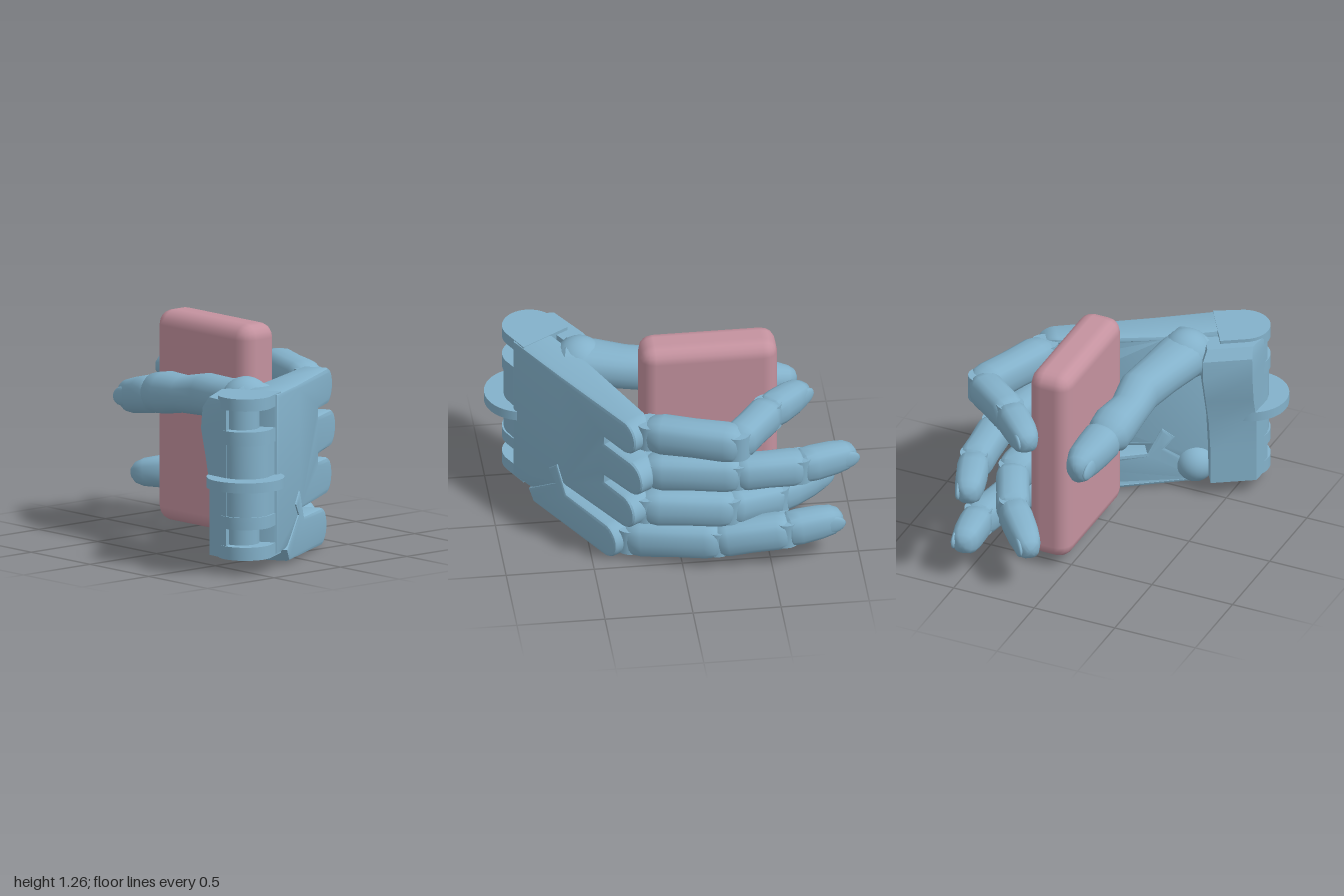
import * as THREE from 'three';
import { toCreasedNormals } from 'three/addons/utils/BufferGeometryUtils.js';
import { RoundedBoxGeometry } from 'three/addons/geometries/RoundedBoxGeometry.js';

const V = (x, y, z) => new THREE.Vector3(x, y, z);
const UP = V(0, 1, 0);

// Sweep a rounded-square section through stations {p, a: half height, b: half width}
function loft(stations, sides, power) {
  const pos = [], idx = [], n = stations.length;
  const bend = (t) => Math.sign(t) * Math.abs(t) ** power;
  stations.forEach(({ p, a, b }, i) => {
    const t = stations[Math.min(i + 1, n - 1)].p.clone().sub(stations[Math.max(i - 1, 0)].p).normalize();
    const side = UP.clone().cross(t).normalize(), up = t.clone().cross(side);
    for (let j = 0; j < sides; j++) {
      const th = (j / sides) * Math.PI * 2;
      const q = p.clone().addScaledVector(side, b * bend(Math.cos(th))).addScaledVector(up, a * bend(Math.sin(th)));
      pos.push(q.x, q.y, q.z);
    }
  });
  pos.push(...stations[0].p.toArray(), ...stations[n - 1].p.toArray());
  for (let j = 0; j < sides; j++) {
    const k = (j + 1) % sides;
    for (let i = 0; i < n - 1; i++) {
      const r = i * sides, s = r + sides;
      idx.push(r + j, r + k, s + k, r + j, s + k, s + j);
    }
    const last = (n - 1) * sides;
    idx.push(n * sides, k, j, n * sides + 1, last + j, last + k);
  }
  const g = new THREE.BufferGeometry();
  g.setAttribute('position', new THREE.Float32BufferAttribute(pos, 3));
  g.setIndex(idx);
  return toCreasedNormals(g, 0.7);
}

export function createModel() {
  const root = new THREE.Group();
  const blue = new THREE.MeshStandardMaterial({ color: 0x83b1ca });
  const pink = new THREE.MeshStandardMaterial({ color: 0xc4929f });
  const add = (parent, name, geo, mat = blue) => {
    const m = new THREE.Mesh(geo, mat);
    m.name = name;
    parent.add(m);
    return m;
  };

  // Held block
  add(root, 'heldBlock', new RoundedBoxGeometry(0.78, 1.21, 0.25, 2, 0.085), pink).position.set(-0.19, 0.665, -0.115);

  // Palm frame: local z runs to the wrist, local x points out of the back of the hand
  const palm = new THREE.Group();
  palm.name = 'palm';
  palm.position.x = 0.645;
  palm.rotation.y = 0.56;
  root.add(palm);
  const K = 0.848;

  // Plate drawn in (z, y), thickened inwards and thinned towards the knuckles
  const plate = (shape, depth, bevel, thin) => {
    const g = new THREE.ExtrudeGeometry(shape, {
      depth: depth - 2 * bevel, bevelThickness: bevel, bevelSize: bevel, bevelOffset: -bevel, bevelSegments: 2, curveSegments: 10,
    });
    g.translate(0, 0, bevel);
    g.rotateY(-Math.PI / 2);
    const p = g.attributes.position;
    for (let i = 0; i < p.count; i++) {
      const f = THREE.MathUtils.clamp((p.getZ(i) + 0.76) / 0.34, 0, 1);
      p.setX(i, p.getX(i) * (thin + (1 - thin) * f));
    }
    return toCreasedNormals(g, 0.6);
  };

  // Back of hand with three knuckle tabs
  const s = new THREE.Shape();
  s.moveTo(0.35 / K, 0.1);
  s.lineTo(0.35 / K, 1.02);
  s.lineTo(0, 1.005);
  for (const [z, y, gap] of [[-0.49, 0.89, 0.77], [-0.54, 0.64, 0.51], [-0.48, 0.38, 0.27]]) {
    s.lineTo(z / K, y + 0.105);
    s.absarc(z / K, y, 0.105, Math.PI / 2, Math.PI * 1.5, false);
    if (gap > 0.3) {
      s.lineTo(-0.35 / K, gap + 0.018);
      s.lineTo(-0.35 / K, gap - 0.018);
    }
  }
  s.lineTo(-0.05 / K, 0.275);
  s.lineTo(0.18 / K, 0.1);
  add(palm, 'palmPlate', plate(s, 0.22, 0.025, 0.4));

  // Little-finger side of the palm, with its hooked upper corner
  const h = new THREE.Shape();
  [[0.18, 0.03], [0.22, 0.1], [0.02, 0.26], [0.07, 0.33], [0, 0.4], [-0.07, 0.235]].forEach(([z, y], i) =>
    i ? h.lineTo(z / K, y) : h.moveTo(z / K, y));
  h.lineTo(-0.36 / K, 0.22);
  h.absarc(-0.36 / K, 0.113, 0.107, Math.PI / 2, Math.PI * 1.5, false);
  add(palm, 'lowerPalm', plate(h, 0.24, 0.02, 0.5)).position.x = 0.012;

  // Slab with a round wrist end, drawn in (x, z) and raised in y
  const slab = (name, y0, y1, r) => {
    const q = new THREE.Shape();
    q.moveTo(-0.175 - r, -0.32);
    q.lineTo(-0.175 - r, -0.47);
    q.absarc(-0.175, -0.47, r, Math.PI, Math.PI * 2, false);
    q.lineTo(-0.175 + r, -0.47);
    q.lineTo(-0.01, -0.32);
    const g = new THREE.ExtrudeGeometry(q, { depth: y1 - y0, bevelEnabled: false, curveSegments: 14 });
    g.rotateX(-Math.PI / 2);
    add(palm, name, toCreasedNormals(g, 0.6)).position.y = y0;
  };
  for (const [a, b] of [[0.095, 0.17], [0.27, 0.34], [0.75, 0.83], [0.95, 1.02]]) slab('wristFlange', a, b, 0.155);
  slab('wristCore', 0.34, 0.75, 0.145);
  add(palm, 'wristPin', new THREE.CylinderGeometry(0.1, 0.1, 0.9, 24)).position.set(-0.2, 0.56, 0.46);
  add(root, 'wristDisc', new THREE.CylinderGeometry(0.22, 0.22, 0.058, 40)).position.set(0.78, 0.53, 0.52);

  // Thumb mount: waisted block filling the inner half of the wrist; rows are y, start z, end z, reach
  const mount = [[0.1, 0.26, 0.52, 0.37], [0.3, 0.26, 0.52, 0.37], [0.5, 0.25, 0.52, 0.37], [0.66, 0.23, 0.5, 0.4],
    [0.82, 0.21, 0.49, 0.43], [0.94, 0.21, 0.49, 0.42], [1.0, 0.24, 0.5, 0.38]];
  const mg = new THREE.BoxGeometry(1, 1, 1, 1, mount.length - 1, 1);
  const mp = mg.attributes.position;
  for (let i = 0; i < mp.count; i++) {
    const [y, z0, z1, reach] = mount[Math.round((mp.getY(i) + 0.5) * (mount.length - 1))];
    const inner = mp.getX(i) < 0, wrist = mp.getZ(i) > 0;
    mp.setXYZ(i, inner ? -reach : -0.25, y, wrist ? (inner ? z1 : 0.6) : z0);
  }
  add(palm, 'thumbMount', toCreasedNormals(mg, 0.5));
  const ball = (name, x, y, z, r) => add(root, name, new THREE.SphereGeometry(r, 24, 16)).position.set(x, y, z);
  ball('thumbPivot', 0.49, 0.915, 0.26, 0.145);
  ball('lowerPivot', 0.58, 0.14, 0.27, 0.11);

  // Fingernail lying on one side of a fingertip
  const nail = (parent, from, to, sign, off) => {
    const t = to.clone().sub(from).normalize();
    const side = UP.clone().cross(t).normalize().multiplyScalar(sign), up = t.clone().cross(side);
    const m = add(parent, 'nail', new THREE.SphereGeometry(1, 16, 10));
    m.quaternion.setFromRotationMatrix(new THREE.Matrix4().makeBasis(side, up, t));
    m.position.copy(to).addScaledVector(t, -0.085).addScaledVector(side, off);
    m.scale.set(0.02, 0.055, 0.09);
  };

  // Fingers: three tapered segments with pinned joints
  const body = [[-0.06, 0.6], [0.03, 0.9], [0.15, 1], [0.5, 0.97], [0.88, 1], [1, 0.92], [1.08, 0.62]];
  const tip = [[0, 0.75], [0.07, 0.96], [0.25, 1], [0.6, 0.94], [0.82, 0.82], [0.94, 0.6], [1, 0.25]];
  const fingers = {
    indexFinger: [[0.18, 0.9, -0.48], [-0.29, 0.905, -0.65], [-0.5, 0.91, -0.38], [-0.74, 0.9, -0.15]],
    middleFinger: [[0.18, 0.64, -0.47], [-0.3, 0.645, -0.56], [-0.66, 0.635, -0.53], [-0.99, 0.63, -0.42]],
    ringFinger: [[0.2, 0.38, -0.44], [-0.27, 0.35, -0.47], [-0.55, 0.31, -0.34], [-0.87, 0.28, -0.08]],
    littleFinger: [[0.28, 0.12, -0.36], [-0.2, 0.165, -0.51], [-0.58, 0.215, -0.54], [-0.91, 0.24, -0.49]],
  };
  for (const [name, pts] of Object.entries(fingers)) {
    const f = new THREE.Group();
    f.name = name;
    root.add(f);
    const P = pts.map((p) => V(...p));
    ['proximal', 'middle', 'distal'].forEach((part, i) => {
      const r = 0.108 - i * 0.006;
      add(f, part, loft((i < 2 ? body : tip).map(([t, k]) =>
        ({ p: P[i].clone().lerp(P[i + 1], t), a: r * k, b: r * k * 0.94 })), 16, 0.7));
      add(f, 'jointPin', new THREE.CylinderGeometry(0.08, 0.08, 0.15, 20)).position.copy(P[i]);
    });
    nail(f, P[2], P[3], -1, 0.058);
  }

  // Thumb: one long waisted segment and a blunt tip
  const thumb = new THREE.Group();
  thumb.name = 'thumb';
  root.add(thumb);
  const st = ([x, y, z, a, b]) => ({ p: V(x, y, z), a, b });
  add(thumb, 'thumbBody', loft([
    [0.63, 0.92, 0.28, 0.06, 0.08], [0.57, 0.92, 0.265, 0.115, 0.145], [0.42, 0.91, 0.24, 0.12, 0.145], [0.25, 0.895, 0.2, 0.115, 0.13],
    [0.05, 0.885, 0.165, 0.12, 0.12], [-0.12, 0.865, 0.178, 0.105, 0.108], [-0.28, 0.85, 0.165, 0.12, 0.125],
    [-0.36, 0.84, 0.165, 0.115, 0.122], [-0.41, 0.83, 0.16, 0.08, 0.09]].map(st), 20, 0.85));
  add(thumb, 'thumbTip', loft([
    [-0.36, 0.835, 0.16, 0.08, 0.09], [-0.41, 0.825, 0.15, 0.11, 0.112], [-0.5, 0.805, 0.135, 0.107, 0.108], [-0.6, 0.785, 0.12, 0.102, 0.095],
    [-0.67, 0.775, 0.122, 0.09, 0.072], [-0.705, 0.77, 0.13, 0.068, 0.045], [-0.72, 0.767, 0.132, 0.035, 0.02]].map(st), 20, 0.85));
  nail(thumb, V(-0.4, 0.83, 0.16), V(-0.72, 0.765, 0.13), 1, 0.05);
  return root;
}
